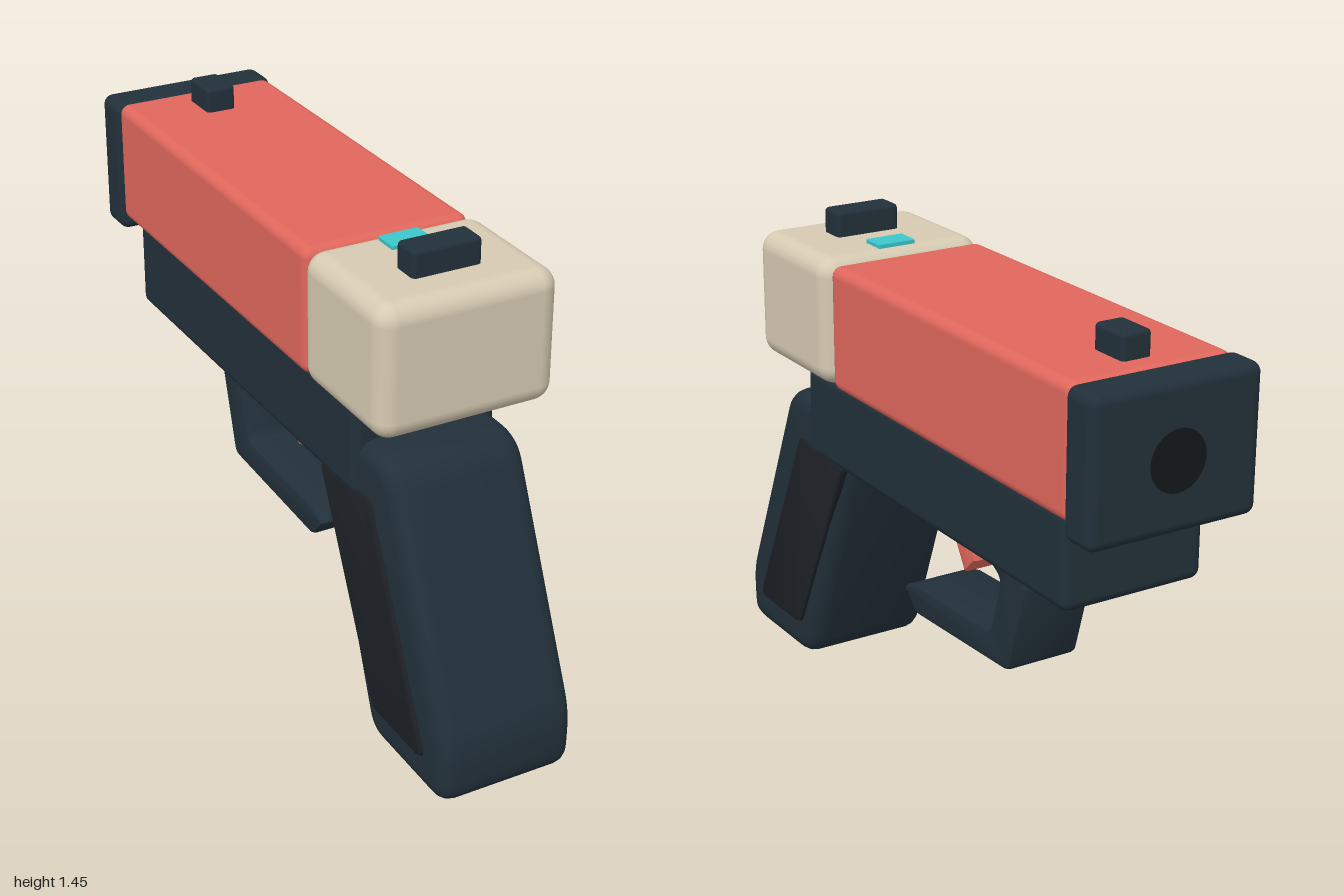
import * as THREE from 'three';
import { toCreasedNormals } from 'three/addons/utils/BufferGeometryUtils.js';
import { RoundedBoxGeometry } from 'three/addons/geometries/RoundedBoxGeometry.js';

const mat = (color) => new THREE.MeshStandardMaterial({ color });

export function createModel() {
  const group = new THREE.Group();
  const dark = mat(0x22303a), red = mat(0xe0675c), tan = mat(0xd6cab2);
  const panelDark = mat(0x1d2127), cyan = mat(0x3cc6cc), black = mat(0x14181b);

  const add = (name, geometry, material) => {
    const mesh = new THREE.Mesh(geometry, material);
    mesh.name = name;
    group.add(mesh);
    return mesh;
  };

  // Rounded block given by half width and its y and z ranges
  const block = (name, halfW, y0, y1, z0, z1, r, material) => {
    const geo = new RoundedBoxGeometry(halfW * 2, y1 - y0, z1 - z0, 4, r);
    add(name, geo, material).position.set(0, (y0 + y1) / 2, (z0 + z1) / 2);
  };

  // Side outline as [z, y, cornerRadius], extruded across x with rounded edges
  const profile = (name, points, halfW, bevel, segments, material) => {
    const shape = new THREE.Shape();
    const n = points.length;
    const toward = (a, b, d) => {
      const len = Math.hypot(b[0] - a[0], b[1] - a[1]);
      const t = Math.min(d / len, 0.49);
      return [a[0] + (b[0] - a[0]) * t, a[1] + (b[1] - a[1]) * t];
    };
    points.forEach((p, i) => {
      const r = p[2] || 0;
      const a = toward(p, points[(i + n - 1) % n], r);
      const b = toward(p, points[(i + 1) % n], r);
      if (i === 0) shape.moveTo(...a);
      else shape.lineTo(...a);
      if (r) shape.quadraticCurveTo(p[0], p[1], ...b);
    });
    shape.closePath();
    const depth = 2 * (halfW - bevel);
    const geo = new THREE.ExtrudeGeometry(shape, {
      depth, curveSegments: 6, bevelEnabled: true, bevelThickness: bevel,
      bevelSize: bevel, bevelOffset: -bevel, bevelSegments: segments,
    });
    geo.translate(0, 0, -depth / 2).rotateY(-Math.PI / 2);
    return add(name, toCreasedNormals(geo, 0.6), material);
  };

  // Upper body
  block('slide', 0.25, 1.0, 1.37, -0.89, 0.32, 0.03, red);
  block('rearBlock', 0.265, 1.0, 1.38, 0.32, 0.745, 0.055, tan);
  block('muzzleBlock', 0.26, 0.96, 1.37, -0.995, -0.87, 0.03, dark);
  block('frame', 0.22, 0.73, 1.01, -0.835, 0.53, 0.03, dark);

  // Muzzle bore
  const bore = add('bore', new THREE.CylinderGeometry(0.085, 0.085, 0.02, 32), black);
  bore.rotation.x = Math.PI / 2;
  bore.position.set(0, 1.16, -0.988);

  // Sights and indicator
  block('rearSight', 0.102, 1.36, 1.455, 0.53, 0.618, 0.013, dark);
  block('frontSight', 0.045, 1.35, 1.442, -0.815, -0.688, 0.013, dark);
  block('indicator', 0.06, 1.37, 1.392, 0.365, 0.44, 0.003, cyan);

  // Slanted grip with an inlaid panel on each side
  profile('grip', [
    [0.685, 0.895, 0.08], [1.0, 0.185, 0.06], [0.995, 0.005, 0.07],
    [0.6, 0.005, 0.07], [0.26, 0.895, 0.08],
  ], 0.206, 0.05, 4, dark);
  for (const side of [-1, 1]) {
    const panel = profile(side > 0 ? 'leftGripPanel' : 'rightGripPanel', [
      [0.6, 0.757, 0.02], [0.9, 0.13, 0.03], [0.88, 0.115, 0.02],
      [0.635, 0.115, 0.03], [0.332, 0.74, 0.02],
    ], 0.015, 0.008, 2, panelDark);
    panel.position.x = side * 0.202;
  }

  // Open trigger guard
  profile('triggerGuard', [
    [0.245, 0.75], [0.2, 0.668, 0.02], [-0.3, 0.668, 0.04], [-0.372, 0.63, 0.03],
    [-0.32, 0.452, 0.025], [0.09, 0.435, 0.01], [0.152, 0.412, 0.01], [0.09, 0.343, 0.015],
    [-0.415, 0.364, 0.025], [-0.495, 0.64, 0.01], [-0.445, 0.75],
  ], 0.115, 0.014, 2, dark);

  // Trigger
  profile('trigger', [
    [-0.035, 0.7], [-0.04, 0.625], [-0.095, 0.533], [-0.148, 0.585], [-0.118, 0.7],
  ], 0.06, 0.014, 2, red);

  return group;
}
